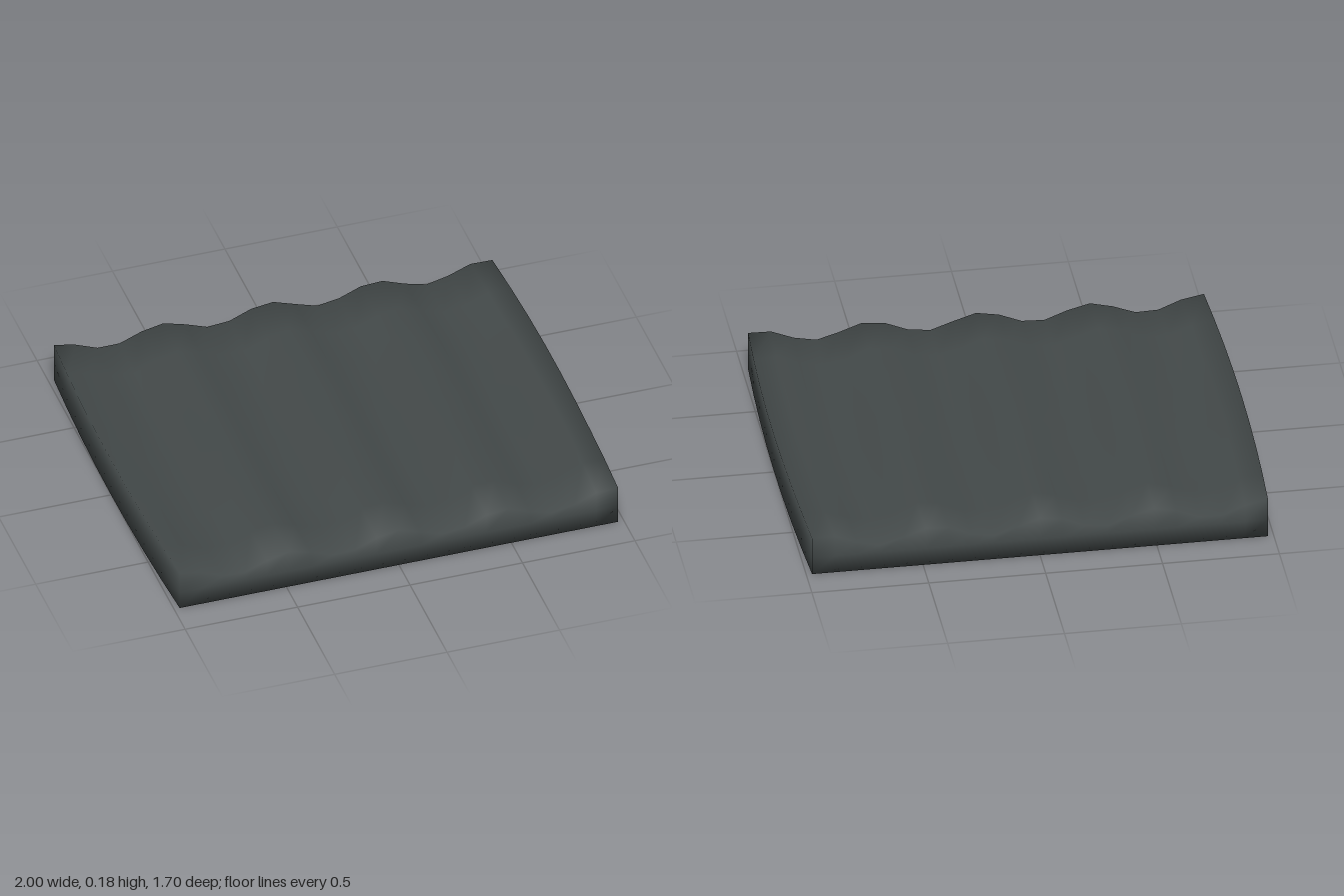
import * as THREE from 'three';
import { mergeVertices } from 'three/addons/utils/BufferGeometryUtils.js';

const HALF_DEPTH = 0.85;

// Height of the rippled top: ridges run front to back and meander slightly
function rippleHeight(x, z) {
  const shift = 0.02 + 0.015 * Math.sin(4 * z);
  return 0.149 + 0.034 * Math.cos((2 * Math.PI * (x + shift)) / 0.485);
}

export function createModel() {
  const group = new THREE.Group();
  group.name = 'rippledSlab';

  // Closed slab, with one edge loop around the middle of its sides
  let geometry = new THREE.BoxGeometry(2, 2, 2 * HALF_DEPTH, 20, 2, 8);
  const pos = geometry.attributes.position;
  for (let i = 0; i < pos.count; i++) {
    const x = pos.getX(i), z = pos.getZ(i), level = pos.getY(i);
    const y = level > 0.5 ? rippleHeight(x, z) : level > -0.5 ? 0.08 : 0;
    // The left and right sides bow outwards
    const bow = 1 - 0.025 * (z / HALF_DEPTH) ** 2;
    pos.setXYZ(i, x * bow, y, z);
  }

  // Weld the sides so the shading rolls smoothly over the edges
  geometry.deleteAttribute('normal');
  geometry.deleteAttribute('uv');
  geometry.clearGroups();
  geometry = mergeVertices(geometry, 1e-4);
  geometry.computeVertexNormals();

  const slab = new THREE.Mesh(geometry, new THREE.MeshStandardMaterial({ color: 0x434949 }));
  slab.name = 'slab';
  group.add(slab);
  return group;
}
